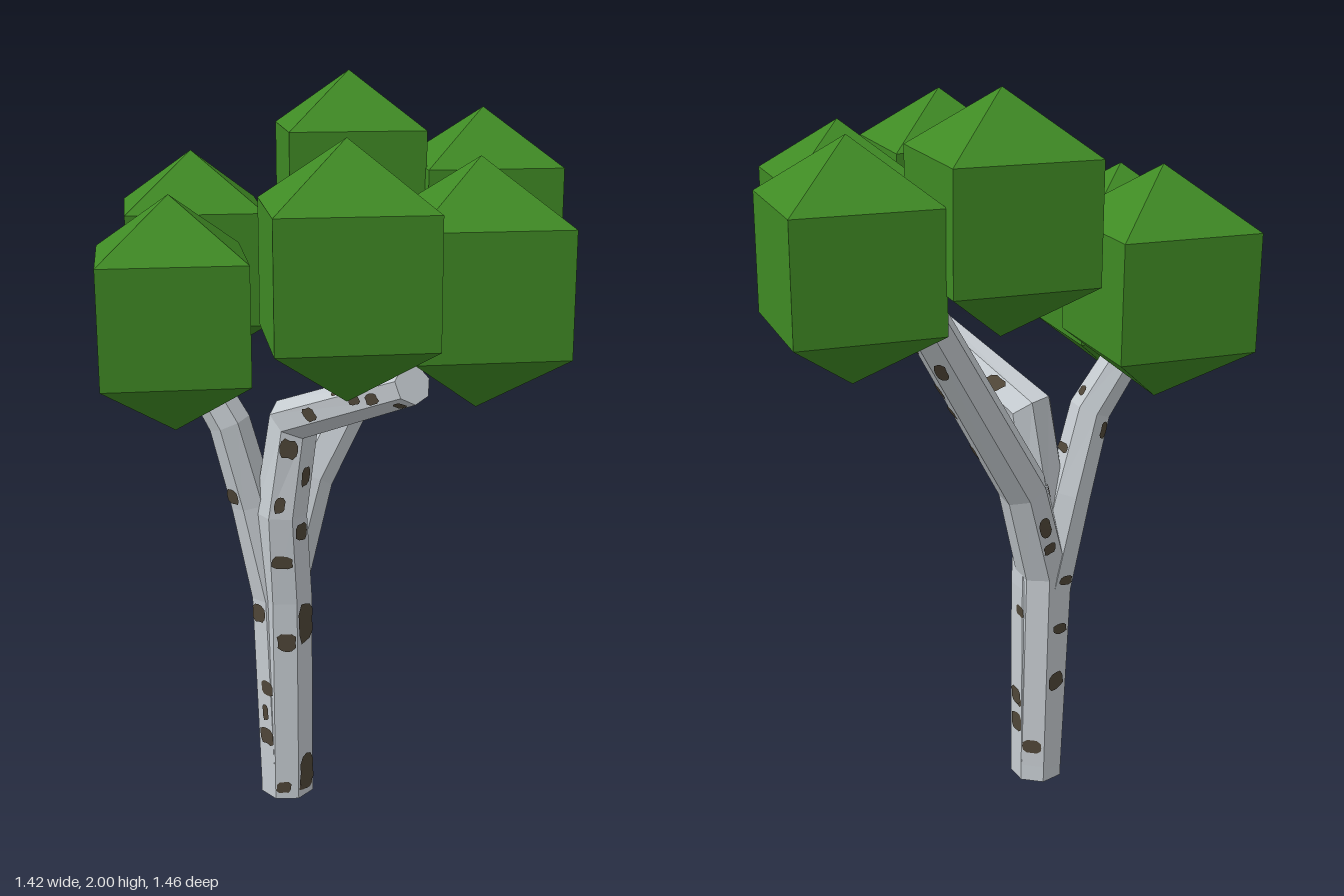
import * as THREE from 'three';

const SIDES = 7;
const PHASE = Math.PI / 2 - Math.PI / SIDES; // one facet faces the front

// Small repeatable number source for the scattered bark patches
function seeded(seed) {
  return () => {
    seed = (seed * 16807) % 2147483647;
    return seed / 2147483647;
  };
}

// Polygon rings along a path of [x, y, z, radius], mitred at the bends
function makeRings(path) {
  const pts = path.map(([x, y, z]) => new THREE.Vector3(x, y, z));
  const up = new THREE.Vector3(0, 1, 0);
  return pts.map((p, i) => {
    const dir = new THREE.Vector3();
    if (i > 0) dir.add(p.clone().sub(pts[i - 1]).normalize());
    if (i < pts.length - 1) dir.add(pts[i + 1].clone().sub(p).normalize());
    if (i === 0) dir.copy(up);
    const q = new THREE.Quaternion().setFromUnitVectors(up, dir.normalize());
    return Array.from({ length: SIDES }, (_, k) => {
      const a = PHASE + (k * 2 * Math.PI) / SIDES;
      return new THREE.Vector3(Math.cos(a), 0, Math.sin(a))
        .multiplyScalar(path[i][3]).applyQuaternion(q).add(p);
    });
  });
}

function fromTriangles(tris) {
  const geo = new THREE.BufferGeometry().setFromPoints(tris);
  geo.computeVertexNormals();
  return geo;
}

// Closed faceted limb
function limbGeometry(rings) {
  const tris = [];
  for (let s = 0; s < rings.length - 1; s++) {
    for (let k = 0; k < SIDES; k++) {
      const n = (k + 1) % SIDES;
      const [a, b, c, d] = [rings[s][k], rings[s][n], rings[s + 1][n], rings[s + 1][k]];
      tris.push(a, d, b, d, c, b);
    }
  }
  const last = rings[rings.length - 1];
  for (let k = 1; k < SIDES - 1; k++) {
    tris.push(rings[0][0], rings[0][k], rings[0][k + 1]);
    tris.push(last[0], last[k + 1], last[k]);
  }
  return fromTriangles(tris);
}

// Ragged patch lying on one facet: centre u, t and half sizes in facet fractions
function addPatch(tris, rings, s, k, u, t, hu, ht, rand) {
  const n = (k + 1) % SIDES;
  const [a, b, c, d] = [rings[s][k], rings[s][n], rings[s + 1][n], rings[s + 1][k]];
  const normal = d.clone().sub(a).cross(b.clone().sub(a)).normalize();
  const at = (x, y) => a.clone().lerp(b, x).lerp(d.clone().lerp(c, x), y).addScaledVector(normal, 0.004);
  const count = 12;
  const rim = Array.from({ length: count }, (_, i) => {
    const w = (i * 2 * Math.PI) / count;
    const box = 1 / Math.max(Math.abs(Math.cos(w)), Math.abs(Math.sin(w)));
    const r = Math.min(box, 1.2) * (0.82 + 0.2 * rand());
    return at(
      THREE.MathUtils.clamp(u + hu * r * Math.cos(w), 0, 1),
      THREE.MathUtils.clamp(t + ht * r * Math.sin(w), 0, 1));
  });
  const mid = at(u, t);
  rim.forEach((p, i) => tris.push(mid, rim[(i + 1) % count], p));
}

// Patches spread along a limb, stepping around it
function patchGeometry(rings, path, seed, fixed) {
  const rand = seeded(seed);
  const tris = [];
  for (const f of fixed) addPatch(tris, rings, ...f, rand);
  for (let s = 0; s < path.length - 1; s++) {
    const len = rings[s][0].distanceTo(rings[s + 1][0]);
    const steps = Math.max(2, Math.round(len / 0.075));
    for (let i = 0; i < steps; i++) {
      const k = Math.floor(rand() * SIDES);
      const half = 0.014 + 0.018 * rand();
      const wide = 0.2 + 0.3 * rand();
      if (fixed.length && s === 0 && k === 0) continue;
      addPatch(tris, rings, s, k, wide + rand() * (1 - 2 * wide), (i + 0.5) / steps, wide, half / len, rand);
    }
  }
  return fromTriangles(tris);
}

export function createModel() {
  const model = new THREE.Group();
  model.name = 'tree';

  const bark = new THREE.MeshStandardMaterial({ color: 0xc6ccd1, flatShading: true });
  bark.name = 'pale bark';
  const patch = new THREE.MeshStandardMaterial({ color: 0x4f4638, flatShading: true });
  patch.name = 'dark bark';
  const leaf = new THREE.MeshStandardMaterial({ color: 0x3f8a24, flatShading: true });
  leaf.name = 'leaf green';

  // Three stems share the trunk and split above it
  const limbs = {
    frontLimb: {
      path: [[-0.1, 0, -0.16, 0.075], [-0.105, 0.6, -0.155, 0.076], [-0.125, 0.85, -0.15, 0.073],
        [-0.1, 1.11, -0.12, 0.07], [-0.33, 1.33, 0.42, 0.048]],
      fixed: [[0, 0, 0.5, 0.13, 0.5, 0.09], [0, 0, 0.5, 0.89, 0.5, 0.1]],
      seed: 1234,
    },
    rightLimb: {
      path: [[-0.1, 0, -0.16, 0.074], [-0.095, 0.65, -0.17, 0.074], [0, 0.92, -0.15, 0.068],
        [0.34, 1.45, -0.04, 0.058]],
      fixed: [],
      seed: 777,
    },
    backLimb: {
      path: [[-0.1, 0, -0.16, 0.074], [-0.11, 0.6, -0.18, 0.07], [-0.15, 0.87, -0.225, 0.062],
        [-0.2, 1.1, -0.26, 0.058], [-0.26, 1.32, -0.37, 0.05]],
      fixed: [],
      seed: 4321,
    },
  };
  for (const [name, { path, fixed, seed }] of Object.entries(limbs)) {
    const rings = makeRings(path);
    const limb = new THREE.Group();
    limb.name = name;
    const wood = new THREE.Mesh(limbGeometry(rings), bark);
    wood.name = 'stem';
    const spots = new THREE.Mesh(patchGeometry(rings, path, seed, fixed), patch);
    spots.name = 'barkPatches';
    limb.add(wood, spots);
    model.add(limb);
  }

  // Leaf clumps, a pair at the end of each limb
  const clump = new THREE.SphereGeometry(0.298, 4, 3);
  const centres = [
    [-0.45, 1.597, 0.32], [-0.135, 1.542, 0.47],
    [0.23, 1.702, -0.185], [0.45, 1.605, 0.105],
    [-0.43, 1.43, -0.24], [-0.09, 1.497, -0.475],
  ];
  for (const c of centres) {
    const mesh = new THREE.Mesh(clump, leaf);
    mesh.name = 'leafClump';
    mesh.position.set(...c);
    model.add(mesh);
  }
  return model;
}
